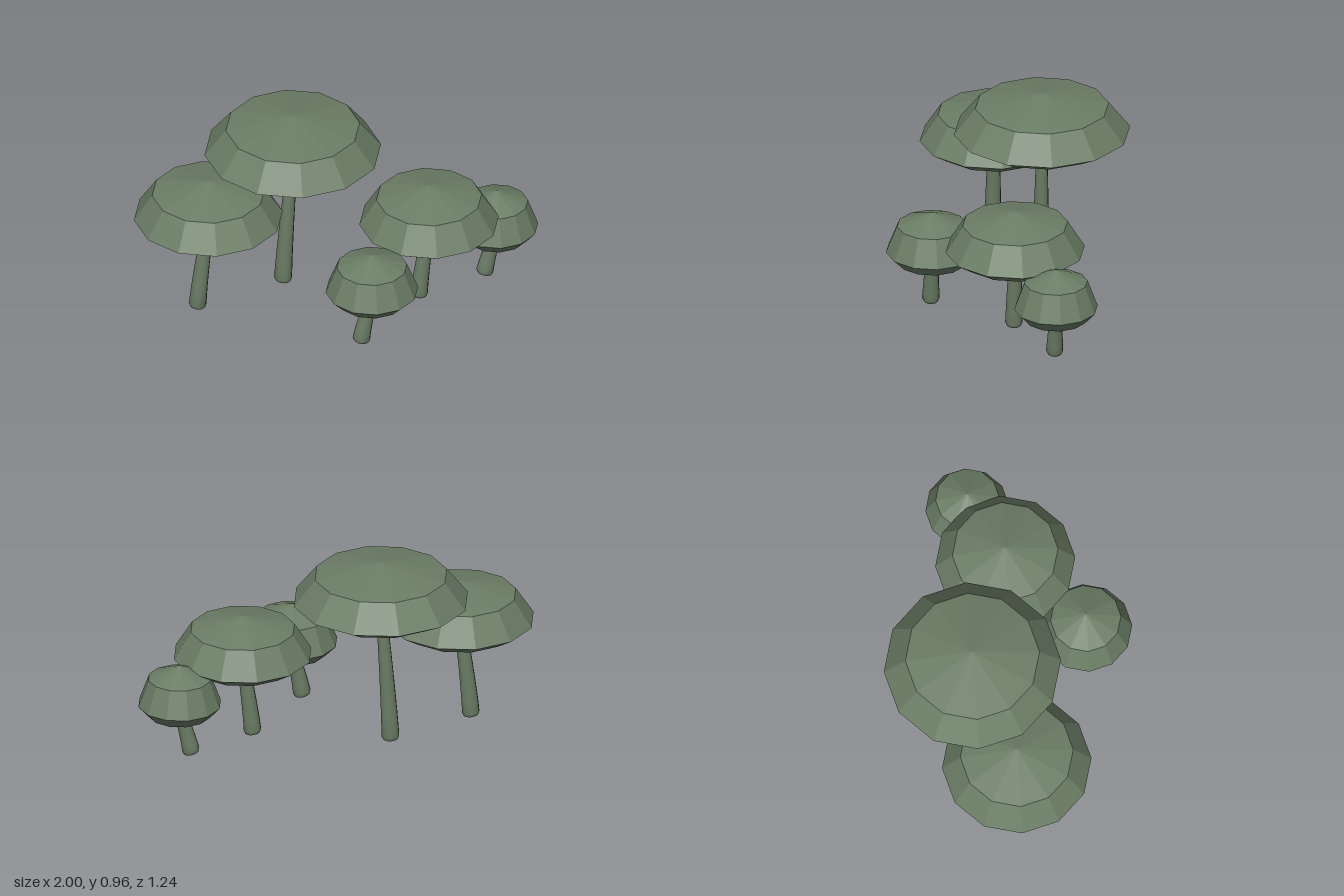
import * as THREE from 'three';
import { toCreasedNormals } from 'three/addons/utils/BufferGeometryUtils.js';

const SIDES = 12;
const v = (x, y) => new THREE.Vector2(x, y);

// Faceted cap: flat underside, flared rim, shoulder and low cone on top
function capGeometry({ rim, shoulder, under, y }) {
  const [yUnder, yRim, yShoulder, yTop] = y;
  return new THREE.LatheGeometry([
    v(0, yUnder), v(under, yUnder), v(rim, yRim), v(shoulder, yShoulder), v(0, yTop),
  ], SIDES);
}

// Tapered stem with a bevelled foot, leaning towards the cap centre
function stemGeometry({ y, foot, neck, lean }) {
  const h = y[0] + 0.02;
  const points = [v(0, 0), v(foot * 0.85, 0), v(foot, 0.015)];
  for (let i = 1; i <= 6; i++) {
    const t = i / 6;
    points.push(v(THREE.MathUtils.lerp(foot, neck, t), 0.015 + (h - 0.015) * t));
  }
  const geo = new THREE.LatheGeometry(points, SIDES);
  const p = geo.attributes.position;
  for (let i = 0; i < p.count; i++) {
    const t = p.getY(i) / h;
    const x = p.getX(i);
    // the foot is cut square to the leaning axis
    p.setY(i, p.getY(i) + (1 - t) * (0.006 - x * lean / h));
    p.setX(i, x + lean * (Math.pow(t, 1.2) - 1));
  }
  return toCreasedNormals(geo, 0.65);
}

export function createModel() {
  const group = new THREE.Group();
  group.name = 'mushroomCluster';
  const capGreen = new THREE.MeshStandardMaterial({ color: 0x6b7d66 });
  capGreen.name = 'mossGreen';

  // y lists the heights of underside, rim, shoulder and top
  const mushrooms = [
    { name: 'tallMushroom', x: -0.2, z: -0.185, rim: 0.433, shoulder: 0.328, under: 0.322,
      y: [0.7, 0.76, 0.893, 0.96], foot: 0.044, neck: 0.026, lean: 0.048 },
    { name: 'rightMushroom', x: -0.635, z: 0, rim: 0.365, shoulder: 0.276, under: 0.272,
      y: [0.47, 0.528, 0.664, 0.73], foot: 0.043, neck: 0.03, lean: 0.053 },
    { name: 'leftMushroom', x: 0.445, z: 0.022, rim: 0.342, shoulder: 0.258, under: 0.256,
      y: [0.378, 0.434, 0.571, 0.638], foot: 0.043, neck: 0.03, lean: 0.05 },
    { name: 'smallFrontMushroom', x: 0.123, z: 0.392, rim: 0.227, shoulder: 0.172, under: 0.17,
      y: [0.24, 0.298, 0.434, 0.5], foot: 0.043, neck: 0.031, lean: 0.053 },
    { name: 'smallLeftMushroom', x: 0.793, z: -0.138, rim: 0.205, shoulder: 0.155, under: 0.153,
      y: [0.216, 0.274, 0.412, 0.478], foot: 0.042, neck: 0.03, lean: 0.058 },
  ];

  for (const m of mushrooms) {
    const mushroom = new THREE.Group();
    mushroom.name = m.name;
    mushroom.position.set(m.x, 0, m.z);
    const cap = new THREE.Mesh(toCreasedNormals(capGeometry(m), 0.01), capGreen);
    cap.name = 'cap';
    const stem = new THREE.Mesh(stemGeometry(m), capGreen);
    stem.name = 'stem';
    mushroom.add(cap, stem);
    group.add(mushroom);
  }
  return group;
}
